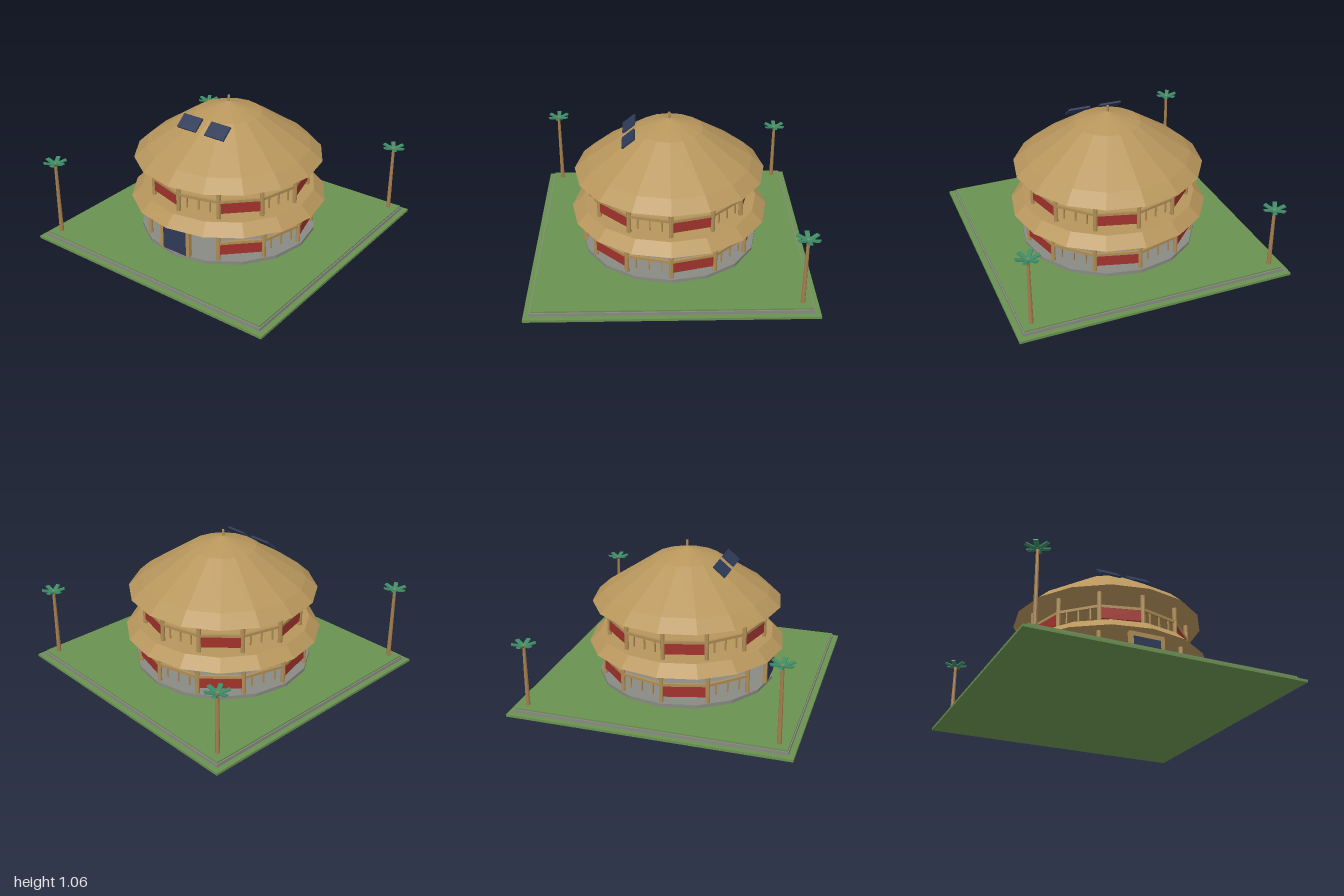
import * as THREE from 'three';

const mat = (name, color) => {
  const m = new THREE.MeshStandardMaterial({ color, flatShading: true });
  m.name = name;
  return m;
};

export function createModel() {
  const grass = mat('grass green', 0x6a9150);
  const stone = mat('stone grey', 0x8a8a84);
  const thatch = mat('thatch tan', 0xb8965c);
  const wood = mat('wood tan', 0xb08e56);
  const red = mat('panel red', 0xa2322c);
  const navy = mat('navy blue', 0x2e3a58);
  const trunkBrown = mat('trunk brown', 0xa47e4c);
  const leafGreen = mat('leaf green', 0x3d8c66);

  const model = new THREE.Group();
  model.name = 'roundPavilion';

  const add = (parent, name, geo, material, x = 0, y = 0, z = 0) => {
    const mesh = new THREE.Mesh(geo, material);
    mesh.name = name;
    mesh.position.set(x, y, z);
    parent.add(mesh);
    return mesh;
  };
  // Box and cylinder given by their bottom and top heights
  const slab = (parent, name, material, w, d, y0, y1, x = 0, z = 0) =>
    add(parent, name, new THREE.BoxGeometry(w, y1 - y0, d), material, x, (y0 + y1) / 2, z);
  const drum = (parent, name, material, rBottom, rTop, y0, y1, sides, x = 0, z = 0) =>
    add(parent, name, new THREE.CylinderGeometry(rTop, rBottom, y1 - y0, sides), material, x, (y0 + y1) / 2, z);

  // Ground
  slab(model, 'groundBase', grass, 2, 2, 0, 0.018);
  slab(model, 'groundBorder', stone, 1.92, 1.92, 0.018, 0.042);
  slab(model, 'lawn', grass, 1.905, 1.905, 0.042, 0.053);
  drum(model, 'stoneFloor', stone, 0.65, 0.65, 0.053, 0.078, 16);

  // Roofs
  drum(model, 'lowerRoof', thatch, 0.72, 0.64, 0.31, 0.387, 16);
  const profile = [[0, 0.622], [0.69, 0.622], [0.6, 0.705], [0.24, 0.942], [0, 1.02]]
    .map(([r, y]) => new THREE.Vector2(r, y));
  add(model, 'upperRoof', new THREE.LatheGeometry(profile, 16), thatch);
  drum(model, 'finial', wood, 0.009, 0.009, 1.01, 1.062, 8);

  // One storey: twelve columns, with panels and balusters in alternate bays
  const storey = (name, r, floor, top, panelY, openFront) => {
    const group = new THREE.Group();
    group.name = name;
    model.add(group);
    const step = Math.PI / 6;
    const chord = 2 * r * Math.sin(step / 2);
    for (let i = 0; i < 12; i++) {
      const a = i * step;
      if (!(openFront && i === 0)) {
        drum(group, 'column', wood, 0.016, 0.016, floor, top, 8, r * Math.sin(a), r * Math.cos(a));
      }
      if (openFront && (i === 0 || i === 11)) continue;
      const bay = new THREE.Group();
      bay.name = 'railing';
      const mid = a + step / 2;
      const reach = r * Math.cos(step / 2);
      bay.position.set(reach * Math.sin(mid), 0, reach * Math.cos(mid));
      bay.rotation.y = mid;
      group.add(bay);
      slab(bay, 'handrail', wood, chord, 0.02, panelY + 0.08, panelY + 0.1);
      if (i % 2) {
        slab(bay, 'railPanel', red, chord * 0.98, 0.012, panelY, panelY + 0.082);
      } else {
        for (const f of [-0.29, 0, 0.29]) {
          slab(bay, 'baluster', wood, 0.01, 0.01, panelY, panelY + 0.082, f * chord);
        }
      }
    }
  };
  storey('lowerStorey', 0.62, 0.07, 0.315, 0.12, true);
  storey('upperStorey', 0.58, 0.38, 0.63, 0.424, false);

  // Entrance
  slab(model, 'door', navy, 0.204, 0.025, 0.078, 0.277, 0, 0.625);
  slab(model, 'doorLintel', wood, 0.262, 0.03, 0.277, 0.312, 0, 0.622);
  for (const s of [-1, 1]) {
    slab(model, 'doorPost', wood, 0.029, 0.03, 0.078, 0.277, s * 0.1165, 0.622);
    // Solar panels on the front slope
    const panel = add(model, 'solarPanel', new THREE.BoxGeometry(0.164, 0.014, 0.112), navy, s * 0.121, 0.916, 0.291);
    panel.rotation.x = 0.69;
  }

  // Palms
  const palm = (x, z, h) => {
    const tree = new THREE.Group();
    tree.name = 'palm';
    tree.position.set(x, 0, z);
    model.add(tree);
    drum(tree, 'trunk', trunkBrown, 0.016, 0.011, 0.05, h, 8);
    for (let i = 0; i < 6; i++) {
      const frond = new THREE.Group();
      frond.name = 'frond';
      frond.position.y = h - 0.008;
      frond.rotation.y = i * Math.PI / 3;
      tree.add(frond);
      const leaf = add(frond, 'leaf', new THREE.BoxGeometry(0.078, 0.009, 0.03), leafGreen, 0.044, 0.01, 0);
      leaf.rotation.z = 0.26;
    }
  };
  palm(-0.885, 0.885, 0.61);
  palm(0.885, -0.885, 0.56);
  palm(-0.885, -0.885, 0.507);

  return model;
}
